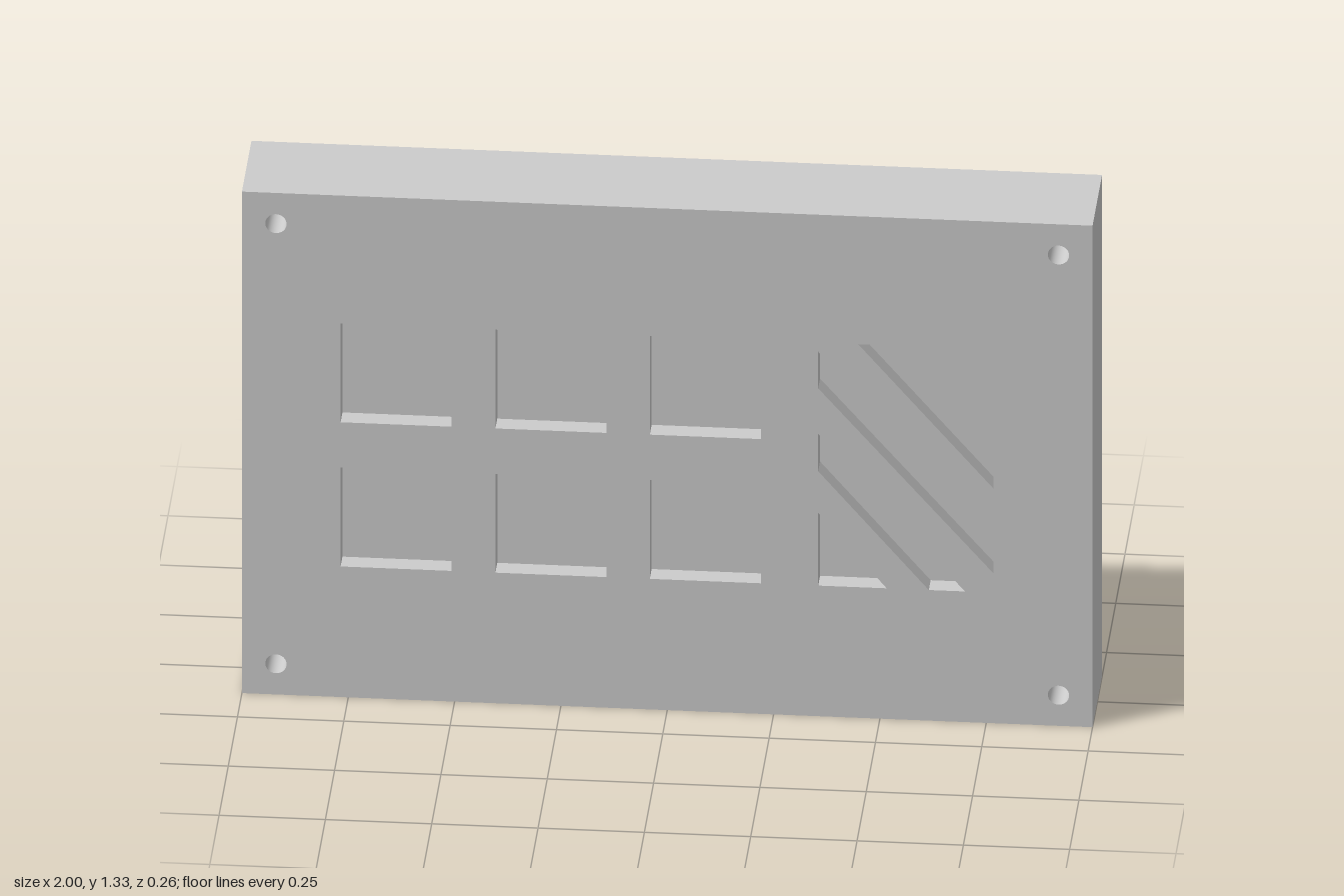
import * as THREE from 'three';
import { mergeGeometries } from 'three/addons/utils/BufferGeometryUtils.js';

const W = 2, H = 1.325, D = 0.258;   // outer case
const PLATE = 0.05;                  // front and back plate thickness
const RIM = 0.16;                    // side wall thickness
const SCREW_R = 0.025, SEGMENTS = 32;
const FRONT = D / 2, BACK = -D / 2;

const toPoints = (list) => list.map(([x, y]) => new THREE.Vector2(x, y));
const rect = (x0, y0, x1, y1) => toPoints([[x0, y0], [x1, y0], [x1, y1], [x0, y1]]);
const circle = (cx, cy, r) => Array.from({ length: SEGMENTS }, (_, i) => {
  const a = (i / SEGMENTS) * Math.PI * 2;
  return new THREE.Vector2(cx + r * Math.cos(a), cy + r * Math.sin(a));
});

// Flat face at depth z, pierced by holes, facing +z or -z
function face(outline, holes, z, facing) {
  const shape = new THREE.Shape(outline);
  shape.holes = holes.map((h) => new THREE.Path(h));
  const g = new THREE.ShapeGeometry(shape).toNonIndexed();
  g.deleteAttribute('uv');
  const p = g.attributes.position;
  for (let i = 0; i < p.count; i++) p.setZ(i, z);
  if (facing < 0) {
    for (let i = 0; i < p.count; i += 3) {
      const x = p.getX(i), y = p.getY(i);
      p.setXY(i, p.getX(i + 1), p.getY(i + 1));
      p.setXY(i + 1, x, y);
    }
  }
  g.computeVertexNormals();
  return g;
}

// Straight wall along a closed outline, facing outward or inward
function wall(outline, z0, z1, inward) {
  const pts = outline.slice();
  if (THREE.ShapeUtils.isClockWise(pts) !== inward) pts.reverse();
  const v = [];
  pts.forEach((a, i) => {
    const b = pts[(i + 1) % pts.length];
    v.push(a.x, a.y, z0, b.x, b.y, z0, b.x, b.y, z1);
    v.push(a.x, a.y, z0, b.x, b.y, z1, a.x, a.y, z1);
  });
  const g = new THREE.BufferGeometry();
  g.setAttribute('position', new THREE.Float32BufferAttribute(v, 3));
  g.computeVertexNormals();
  return g;
}

export function createModel() {
  const group = new THREE.Group();
  const grey = new THREE.MeshStandardMaterial({ color: 0xcccccc });
  const add = (name, parts) => {
    const mesh = new THREE.Mesh(mergeGeometries(parts), grey);
    mesh.name = name;
    group.add(mesh);
  };

  const outer = rect(-W / 2, 0, W / 2, H);
  const inner = rect(-W / 2 + RIM, RIM, W / 2 - RIM, H - RIM);
  const innerFront = FRONT - PLATE, innerBack = BACK + PLATE;

  // Six square windows
  const windows = [];
  for (const x of [-0.768, -0.404, -0.041]) {
    for (const y of [0.345, 0.726]) windows.push(rect(x, y, x + 0.261, y + 0.261));
  }

  // Diagonal slots clipped to a rectangle
  const slots = [
    [[0.449, 0.987], [0.767, 0.62], [0.767, 0.797], [0.599, 0.987]],
    [[0.355, 0.963], [0.355, 0.866], [0.767, 0.396], [0.767, 0.492]],
    [[0.355, 0.746], [0.355, 0.647], [0.615, 0.345], [0.7, 0.345]],
    [[0.355, 0.537], [0.355, 0.345], [0.516, 0.345]],
  ].map(toPoints);
  const openings = [...windows, ...slots];

  // Corner screw positions
  const screws = [];
  for (const x of [-0.92, 0.92]) for (const y of [0.081, H - 0.081]) screws.push([x, y]);
  const screwOutlines = screws.map(([x, y]) => circle(x, y, SCREW_R));

  // Case panels
  add('sideWalls', [wall(outer, BACK, FRONT, false)]);
  add('backPanel', [face(outer, screwOutlines, BACK, -1)]);
  add('frontPanel', [
    face(outer, [...openings, ...screwOutlines], FRONT, 1),
    face(inner, openings, innerFront, -1),
  ]);
  add('openingEdges', openings.map((o) => wall(o, innerFront, FRONT, true)));

  // Hollow inside
  add('cavity', [wall(inner, innerBack, innerFront, true), face(inner, [], innerBack, 1)]);

  // Screw holes running right through the rim
  const boreMaterial = new THREE.MeshStandardMaterial({ color: 0xcccccc, side: THREE.BackSide });
  const bore = new THREE.CylinderGeometry(SCREW_R, SCREW_R, D, SEGMENTS, 1, true).rotateX(Math.PI / 2);
  for (const [x, y] of screws) {
    const hole = new THREE.Mesh(bore, boreMaterial);
    hole.name = 'screwHole';
    hole.position.set(x, y, 0);
    group.add(hole);
  }
  return group;
}
